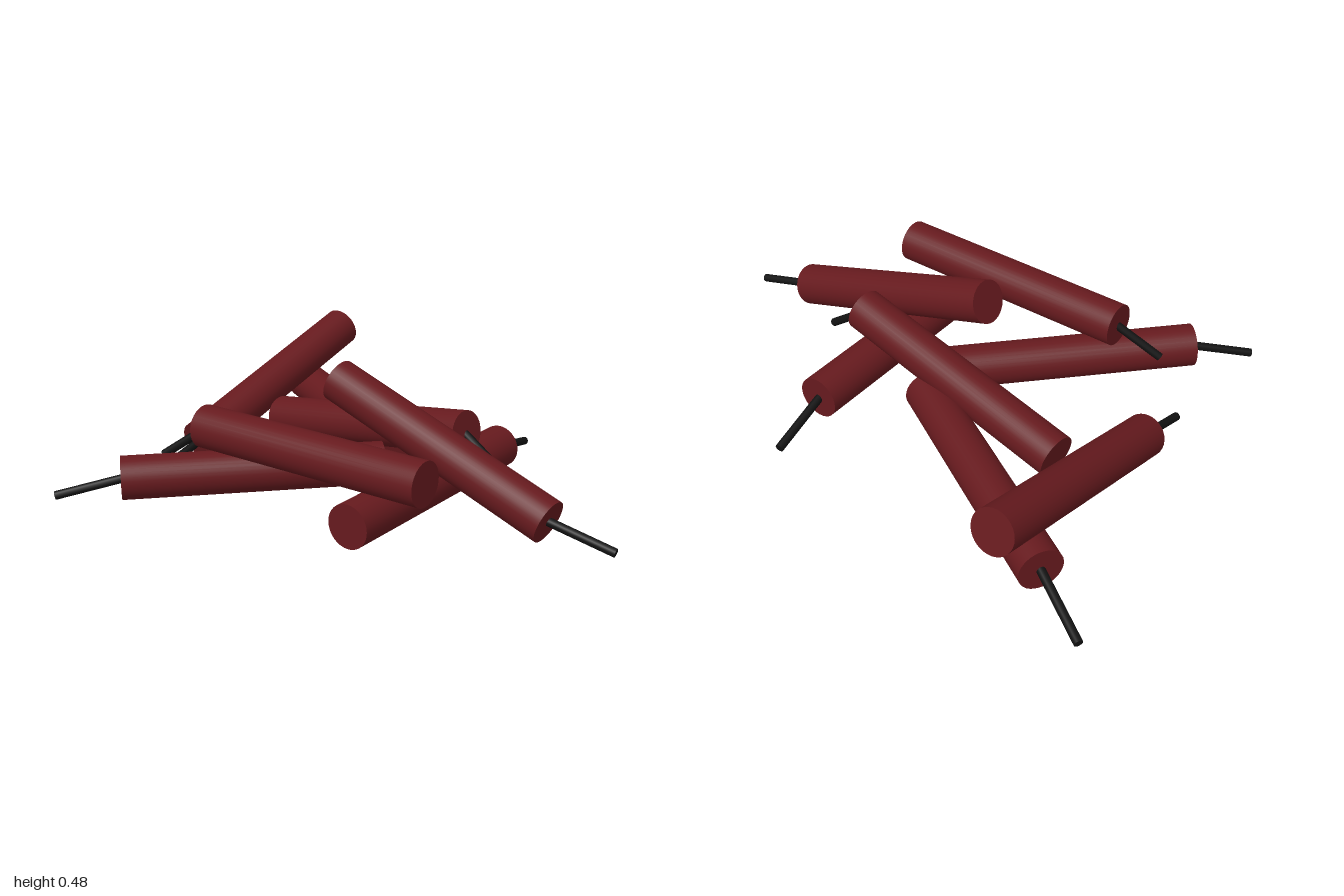
import * as THREE from 'three';

const STICK_RADIUS = 0.076;
const FUSE_RADIUS = 0.015;

// Cylinder spanning two points
function rod(a, b, radius, segments, material, name) {
  const axis = b.clone().sub(a);
  const mesh = new THREE.Mesh(
    new THREE.CylinderGeometry(radius, radius, axis.length(), segments), material);
  mesh.position.copy(a).add(b).multiplyScalar(0.5);
  mesh.quaternion.setFromUnitVectors(new THREE.Vector3(0, 1, 0), axis.normalize());
  mesh.name = name;
  return mesh;
}

export function createModel() {
  const red = new THREE.MeshStandardMaterial({ color: 0x661a1e });
  const black = new THREE.MeshStandardMaterial({ color: 0x121212 });

  // Each stick: plain end, fuse end, fuse tip
  const sticks = {
    backLeaningStick: [[-0.69, 0.33, -0.76], [-0.685, 0.08, 0.115], [-0.69, 0.02, 0.33]],
    topLeaningStick: [[-0.083, 0.415, 0.037], [0.773, 0.113, 0.06], [1.0, 0.06, 0.035]],
    frontUpperStick: [[0.5, 0.27, 0.353], [-0.41, 0.27, 0.365], [-0.55, 0.155, 0.43]],
    backUpperStick: [[-0.535, 0.125, -0.195], [0.354, 0.275, -0.108], [0.5, 0.155, -0.114]],
    sideGroundStick: [[0.29, 0.115, 0.473], [0.29, 0.115, -0.435], [0.262, 0.06, -0.665]],
    frontGroundStick: [[0.048, 0.115, -0.045], [-0.58, 0.115, 0.61], [-0.745, 0.06, 0.765]],
    backGroundStick: [[0.019, 0.115, -0.178], [-0.774, 0.115, -0.625], [-0.993, 0.06, -0.75]],
  };

  const model = new THREE.Group();
  model.name = 'stickPile';
  for (const [name, points] of Object.entries(sticks)) {
    const [end, fuseEnd, tip] = points.map((p) => new THREE.Vector3(...p));
    const group = new THREE.Group();
    group.name = name;
    // Fuse root sits slightly inside the stick
    const root = fuseEnd.clone().lerp(end, 0.015);
    group.add(rod(end, fuseEnd, STICK_RADIUS, 32, red, 'stick'));
    group.add(rod(root, tip, FUSE_RADIUS, 12, black, 'fuse'));
    model.add(group);
  }
  return model;
}
